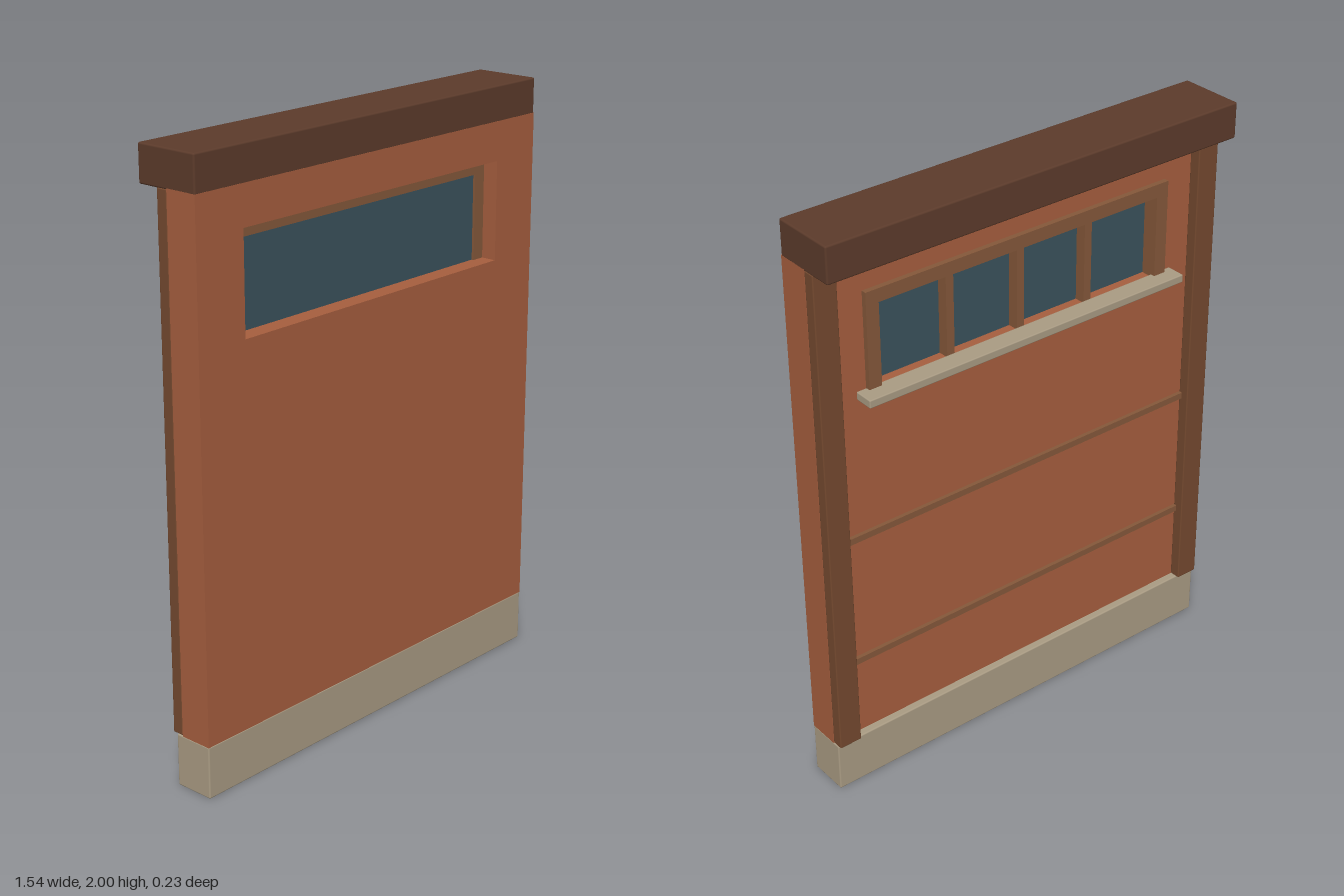
import * as THREE from 'three';
import { RoundedBoxGeometry } from 'three/addons/geometries/RoundedBoxGeometry.js';

const paint = (color) => new THREE.MeshStandardMaterial({ color });

export function createModel() {
  const group = new THREE.Group();
  const brick = paint(0xa65e3e), stone = paint(0xa99b83), darkWood = paint(0x5c3b2b);
  const postWood = paint(0x74492f), trimWood = paint(0x85583a), glassBlue = paint(0x3a525c);

  // Box given by its extents; a bevel softens the edges
  function box(name, material, [x0, x1], [y0, y1], [z0, z1], bevel = 0) {
    const size = [x1 - x0, y1 - y0, z1 - z0];
    const geometry = bevel ? new RoundedBoxGeometry(...size, 2, bevel) : new THREE.BoxGeometry(...size);
    const mesh = new THREE.Mesh(geometry, material);
    mesh.name = name;
    mesh.position.set((x0 + x1) / 2, (y0 + y1) / 2, (z0 + z1) / 2);
    group.add(mesh);
  }

  const W = 0.768, front = 0.113;
  const win = { x: 0.58, y0: 1.425, y1: 1.755 };

  // Wall panel with the window opening cut through
  const outline = new THREE.Shape([[-W, 0.175], [W, 0.175], [W, 1.885], [-W, 1.885]]
    .map(([x, y]) => new THREE.Vector2(x, y)));
  outline.holes.push(new THREE.Path([[-win.x, win.y0], [-win.x, win.y1], [win.x, win.y1], [win.x, win.y0]]
    .map(([x, y]) => new THREE.Vector2(x, y))));
  const wall = new THREE.Mesh(
    new THREE.ExtrudeGeometry(outline, { depth: front, bevelEnabled: false }), brick);
  wall.name = 'wall';
  group.add(wall);

  // Stone plinth and top beam
  box('plinth', stone, [-W, W], [0, 0.176], [-0.025, front], 0.005);
  box('topBeam', darkWood, [-W, W], [1.88, 2], [-front, front], 0.006);

  // Corner posts and window jambs, mirrored
  for (const s of [-1, 1]) {
    const span = (a, b) => [Math.min(s * a, s * b), Math.max(s * a, s * b)];
    box('post', postWood, span(W - 0.08, W), [0.178, 1.882], [-0.04, 0], 0.004);
    box('windowJamb', trimWood, span(0.535, win.x), [win.y0, win.y1], [-0.018, 0.06]);
  }

  // Window head, glass and glazing bars
  box('windowHead', trimWood, [-0.535, 0.535], [1.71, win.y1], [-0.018, 0.06]);
  box('glass', glassBlue, [-0.535, 0.535], [win.y0, 1.71], [0.038, 0.052]);
  for (const x of [-0.268, 0, 0.268])
    box('glazingBar', trimWood, [x - 0.014, x + 0.014], [win.y0, 1.71], [0, 0.038]);

  // Projecting sill
  box('sill', stone, [-0.615, 0.615], [1.405, 1.433], [-0.068, 0], 0.004);

  // Horizontal battens between the posts
  for (const y of [0.465, 0.925])
    box('batten', trimWood, [-W + 0.08, W - 0.08], [y - 0.011, y + 0.011], [-0.013, 0]);

  return group;
}
